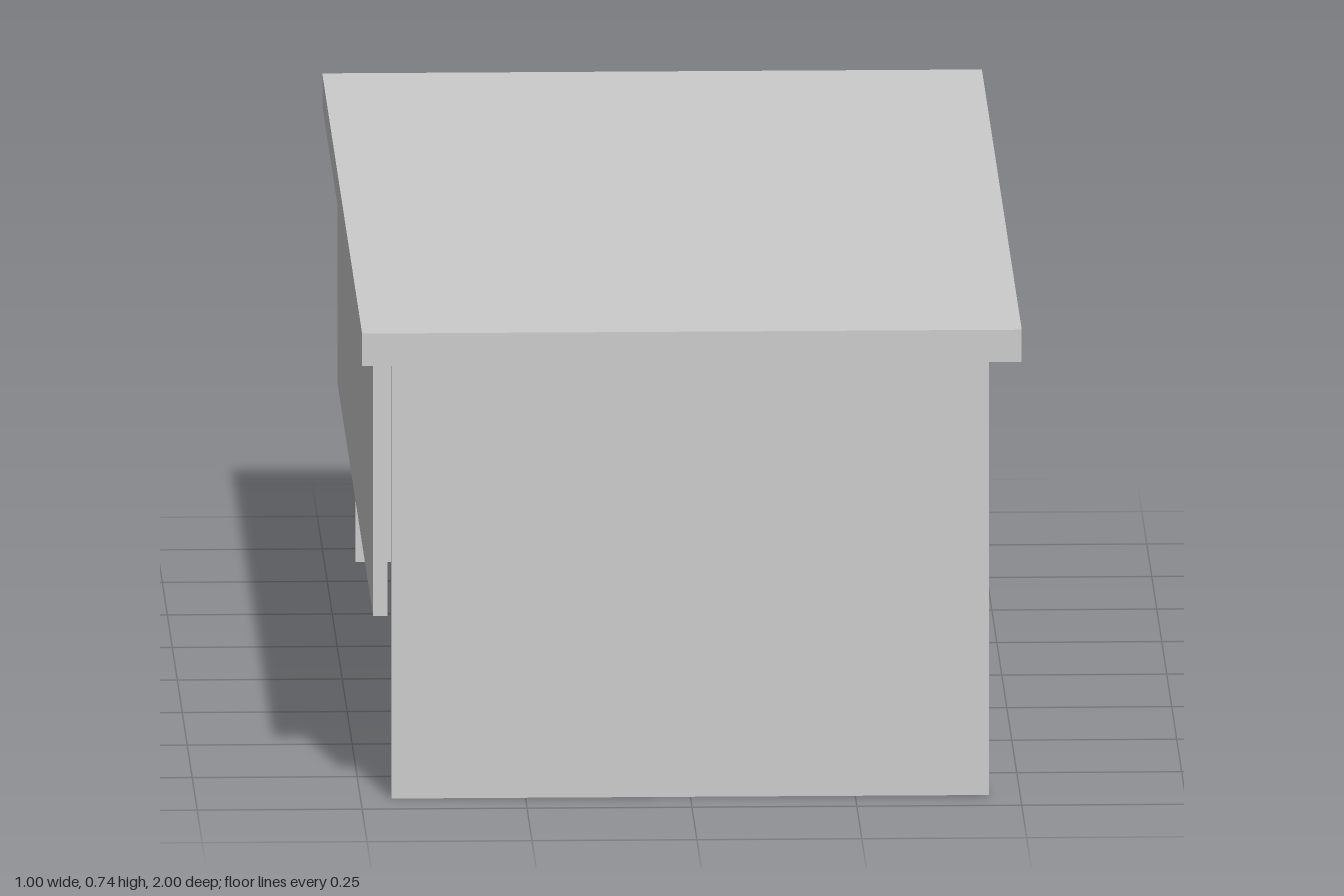
import * as THREE from 'three';

const grey = new THREE.MeshStandardMaterial({ color: 0xcccccc });

// Box given by its minimum and maximum on each axis
function panel(parent, name, [x0, x1], [y0, y1], [z0, z1]) {
  const mesh = new THREE.Mesh(new THREE.BoxGeometry(x1 - x0, y1 - y0, z1 - z0), grey);
  mesh.position.set((x0 + x1) / 2, (y0 + y1) / 2, (z0 + z1) / 2);
  mesh.name = name;
  parent.add(mesh);
}

export function createModel() {
  const desk = new THREE.Group();
  desk.name = 'desk';
  const depth = [-0.453, 0.453];
  const under = 0.685; // underside of the top

  panel(desk, 'deskTop', [-0.5, 0.5], [under, 0.735], [-1, 1]);

  // End panels standing on the floor
  panel(desk, 'frontEndPanel', depth, [0, under], [0.898, 0.92]);
  panel(desk, 'backEndPanel', depth, [0, under], [-0.92, -0.898]);

  // Hanging privacy panel, just clear of the end panels
  panel(desk, 'modestyPanel', [-0.48, -0.458], [0.277, under], [-0.895, 0.895]);

  // Drawer pedestal: carcass, then two drawers with narrow gaps around them
  const pedestal = new THREE.Group();
  pedestal.name = 'drawerPedestal';
  desk.add(pedestal);
  panel(pedestal, 'pedestalSide', depth, [0.272, under], [-0.373, -0.356]);
  panel(pedestal, 'pedestalBottom', depth, [0.272, 0.296], [-0.898, -0.373]);
  panel(pedestal, 'pedestalBack', [-0.453, -0.433], [0.296, under], [-0.898, -0.373]);
  const drawers = [['lowerDrawer', 0.298, 0.488], ['upperDrawer', 0.494, 0.679]];
  for (const [name, y0, y1] of drawers) {
    panel(pedestal, name, [-0.42, 0.453], [y0, y1], [-0.898, -0.379]);
  }
  return desk;
}
